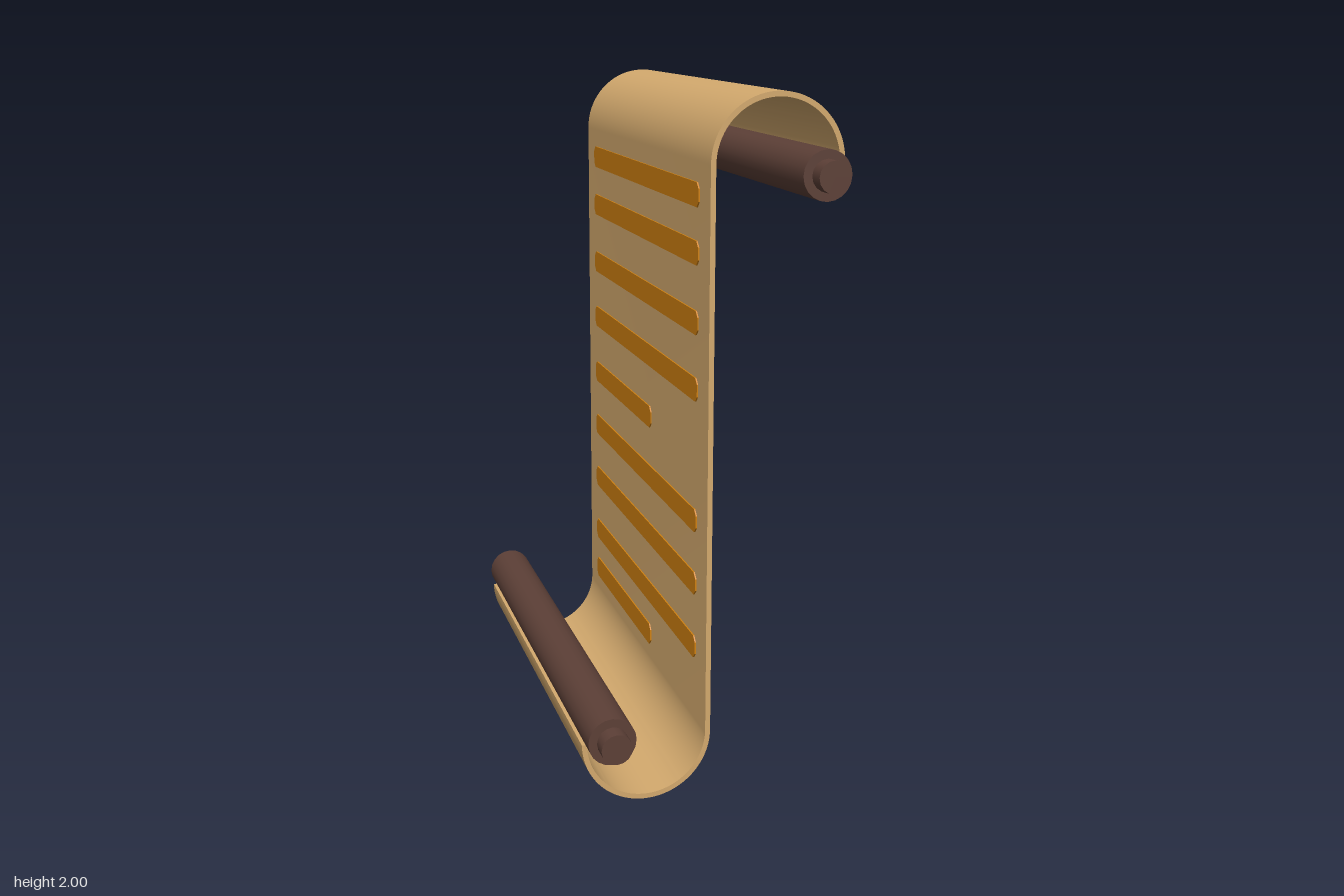
import * as THREE from 'three';
import { toCreasedNormals } from 'three/addons/utils/BufferGeometryUtils.js';

const HALF_WIDTH = 0.665;
const R = 0.183;        // curl radius at mid thickness
const T = 0.0075;       // half thickness of the sheet
const LOW = 0.19, HIGH = 1.81; // heights of the curl centres

export function createModel() {
  const parchment = new THREE.MeshStandardMaterial({ name: 'parchment', color: 0xd4aa6e });
  const ink = new THREE.MeshStandardMaterial({ name: 'orange ink', color: 0xd28210 });
  const wood = new THREE.MeshStandardMaterial({ name: 'dark wood', color: 0x5d4037 });

  const model = new THREE.Group();
  model.name = 'scroll';
  const add = (name, geometry, material, parent = model) => {
    const mesh = new THREE.Mesh(geometry, material);
    mesh.name = name;
    parent.add(mesh);
    return mesh;
  };

  // S-shaped sheet: curls forward at the bottom and backward at the top
  const profile = new THREE.Shape();
  profile.moveTo(-2 * R - T + T, LOW);
  profile.absarc(-R, LOW, R + T, Math.PI, 2 * Math.PI, false);
  profile.lineTo(T, HIGH);
  profile.absarc(R, HIGH, R - T, Math.PI, 0, true);
  profile.lineTo(2 * R + T, HIGH);
  profile.absarc(R, HIGH, R + T, 0, Math.PI, false);
  profile.lineTo(-T, LOW);
  profile.absarc(-R, LOW, R - T, 0, -Math.PI, true);
  const sheet = new THREE.ExtrudeGeometry(profile, {
    depth: 2 * HALF_WIDTH, bevelEnabled: false, curveSegments: 28,
  });
  sheet.translate(0, 0, -HALF_WIDTH).rotateY(Math.PI / 2);
  add('sheet', toCreasedNormals(sheet, Math.PI / 5), parchment);

  // Lines of writing as thin bars with clipped corners
  const bar = (x0, x1) => {
    const h = 0.034, c = 0.016;
    const s = new THREE.Shape();
    s.moveTo(x0 + c, -h);
    s.lineTo(x1 - c, -h);
    s.lineTo(x1, -h + c);
    s.lineTo(x1, h - c);
    s.lineTo(x1 - c, h);
    s.lineTo(x0 + c, h);
    s.lineTo(x0, h - c);
    s.lineTo(x0, -h + c);
    s.closePath();
    return new THREE.ExtrudeGeometry(s, { depth: 0.004, bevelEnabled: false });
  };
  [1.72, 1.56, 1.365, 1.175, 0.98, 0.79, 0.6, 0.405, 0.26].forEach((y, i) => {
    const isShort = i === 4 || i === 8;
    add('textLine' + (i + 1), bar(-0.572, isShort ? 0.11 : 0.572), ink).position.set(0, y, T);
  });

  // Rollers with a narrower knob at each end
  const rod = (name, y, z) => {
    const group = new THREE.Group();
    group.name = name;
    group.position.set(0, y, z);
    add('roller', new THREE.CylinderGeometry(0.07, 0.07, 1.452, 20).rotateZ(Math.PI / 2), wood, group);
    for (const side of [-1, 1]) {
      const knob = new THREE.CylinderGeometry(0.045, 0.045, 0.06, 16).rotateZ(Math.PI / 2);
      add(side > 0 ? 'leftKnob' : 'rightKnob', knob, wood, group).position.x = side * 0.747;
    }
    model.add(group);
  };
  rod('topRod', 1.78, -0.3);
  rod('bottomRod', 0.22, 0.3);

  // The scroll stands turned to one side
  model.rotation.y = THREE.MathUtils.degToRad(-25);
  const root = new THREE.Group();
  root.name = 'scrollModel';
  root.add(model);
  return root;
}
